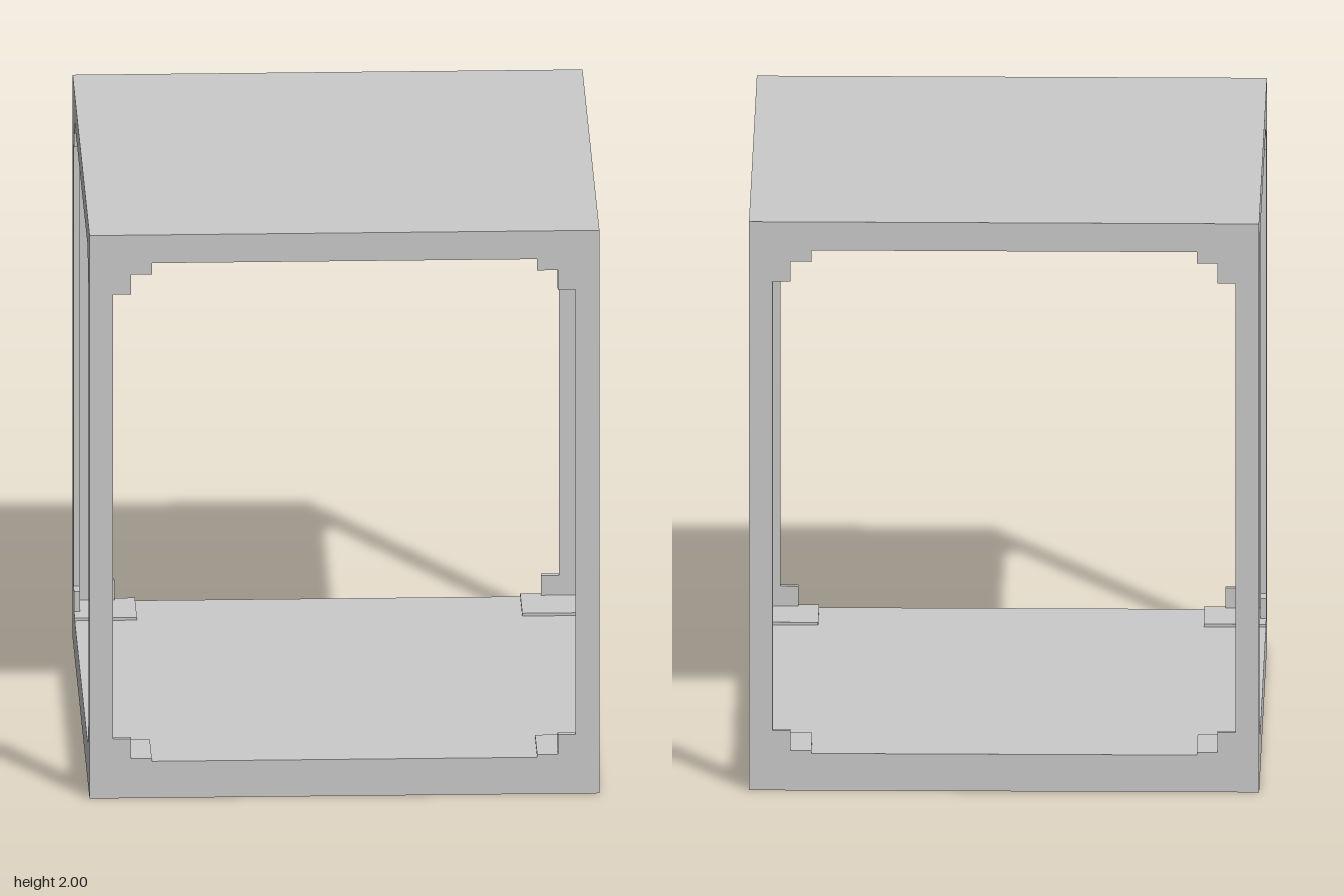
import * as THREE from 'three';

const HALF = 0.86;      // half width of the frame
const WALL = 0.02;      // thickness of the corner angle plates
const FLOOR = 0.13;     // top of the base slab
const CEILING = 1.9;    // underside of the roof slab

export function createModel() {
  const model = new THREE.Group();
  model.name = 'openFrameBox';
  const material = new THREE.MeshStandardMaterial({ color: 0xcccccc });

  const add = (parent, name, geometry, x = 0, y = 0, z = 0) => {
    const mesh = new THREE.Mesh(geometry, material);
    mesh.name = name;
    mesh.position.set(x, y, z);
    parent.add(mesh);
    return mesh;
  };

  // Base and roof slabs
  add(model, 'baseSlab', new THREE.BoxGeometry(2 * HALF, FLOOR, 2 * HALF), 0, FLOOR / 2, 0);
  add(model, 'roofSlab', new THREE.BoxGeometry(2 * HALF, 2 - CEILING, 2 * HALF), 0, (2 + CEILING) / 2, 0);

  // Stepped plate outline: x runs inward from the corner edge, y is height
  const plate = (start) => {
    const outline = [
      [start, FLOOR], [0.14, FLOOR], [0.14, 0.21], [0.08, 0.21],
      [0.08, 1.79], [0.14, 1.79], [0.14, 1.86], [0.21, 1.86],
      [0.21, CEILING], [start, CEILING],
    ].map(([x, y]) => new THREE.Vector2(x, y));
    return new THREE.ExtrudeGeometry(new THREE.Shape(outline), { depth: WALL, bevelEnabled: false });
  };

  const longPlate = plate(0);
  // The second plate butts against the first and is turned to run along z
  const buttPlate = plate(WALL).rotateY(-Math.PI / 2).translate(WALL, 0, 0);
  const pad = new THREE.BoxGeometry(0.21, 0.01, 0.21);

  // Four corner posts, each an L-shaped angle with stepped brackets and a foot pad
  const corners = ['backRight', 'frontRight', 'frontLeft', 'backLeft'];
  corners.forEach((corner, i) => {
    const turn = new THREE.Group();
    turn.name = corner + 'Corner';
    turn.rotation.y = i * Math.PI / 2;
    add(turn, 'postPlateA', longPlate, -HALF, 0, -HALF);
    add(turn, 'postPlateB', buttPlate, -HALF, 0, -HALF);
    add(turn, 'footPad', pad, 0.105 - HALF, FLOOR + 0.005, 0.105 - HALF);
    model.add(turn);
  });

  return model;
}
